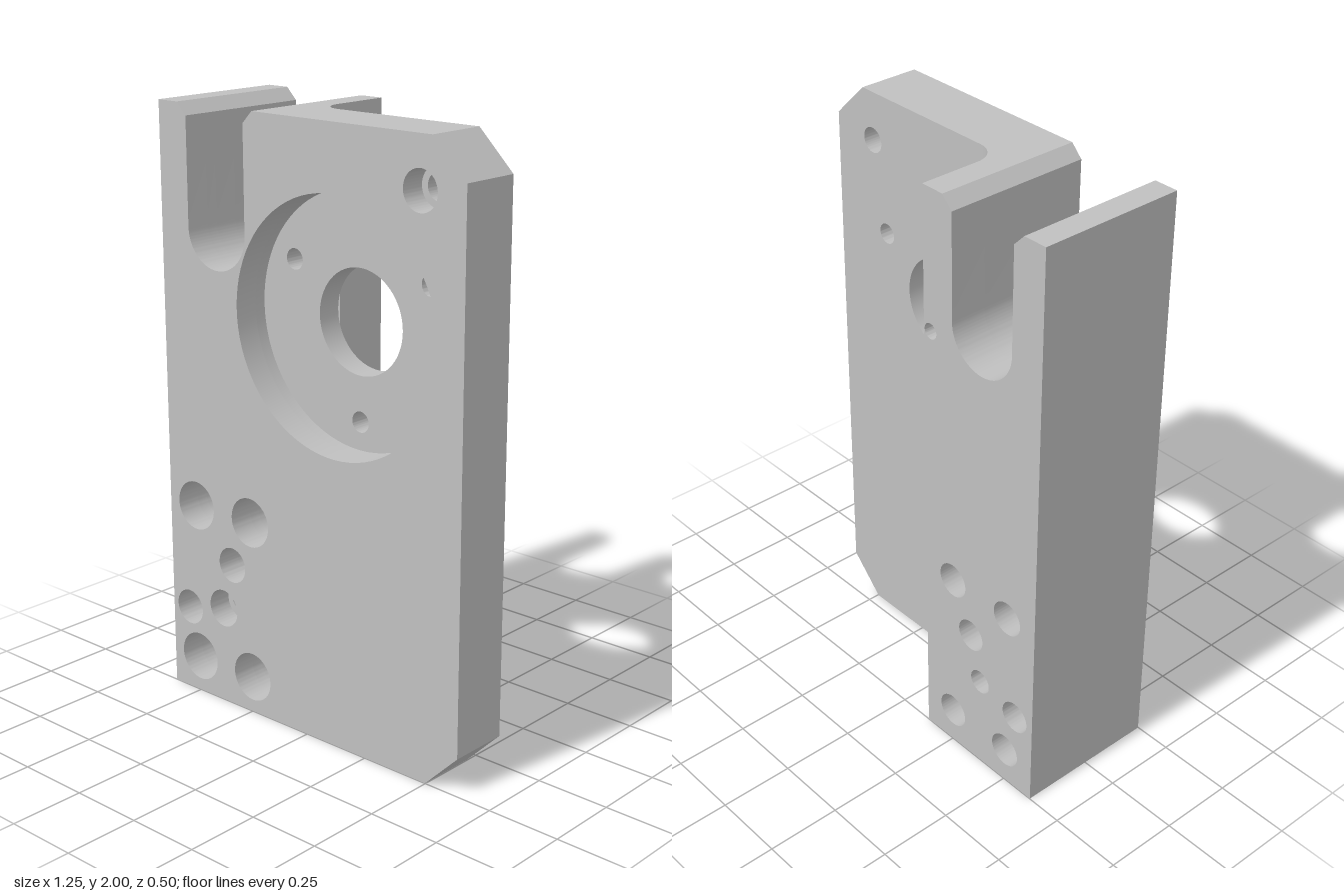
import * as THREE from 'three';
import { toCreasedNormals } from 'three/addons/utils/BufferGeometryUtils.js';

// hole positions, [x, y]
const boltHoles = [[-0.5, 0.67], [-0.25, 0.67], [-0.5, 0.125], [-0.25, 0.125]];
const dowelHoles = [[-0.335, 0.5], [-0.543, 0.295]];
const columnScrew = [[-0.38, 0.335]];
const cornerScrew = [[0.455, 1.838]];
const flangeHoles = [[0.395, 1.535], [0.12, 1.06]];
const tappedHole = [[-0.154, 1.535]];
const centre = [[0.12, 1.378]];

// outline with the slot open at the top; rightSide lists the points right of the slot
function outline(rightSide) {
  const s = new THREE.Shape();
  s.moveTo(-0.623, 0);
  rightSide.forEach(([x, y]) => s.lineTo(x, y));
  s.lineTo(-0.21, 2);
  s.lineTo(-0.249, 1.96);
  s.lineTo(-0.249, 1.61);
  s.absarc(-0.375, 1.61, 0.126, 0, Math.PI, true);
  s.lineTo(-0.501, 1.96);
  s.lineTo(-0.54, 2);
  s.lineTo(-0.623, 2);
  s.closePath();
  return s;
}

const plateSide = [[0.498, 0], [0.623, 0.125], [0.623, 1.878], [0.498, 2]];
const columnSide = [[-0.125, 0], [-0.125, 2]];

export function createModel() {
  const group = new THREE.Group();
  const metal = new THREE.MeshStandardMaterial({ color: 0xc0c0c0 });
  metal.name = 'grey metal';

  const add = (name, geometry) => {
    const mesh = new THREE.Mesh(toCreasedNormals(geometry, 0.5), metal);
    mesh.name = name;
    group.add(mesh);
  };

  // slab between two depths, holes given as [centres, radius]
  const slab = (name, side, z0, z1, holes) => {
    const shape = outline(side);
    for (const [points, r] of holes) {
      for (const [x, y] of points) {
        shape.holes.push(new THREE.Path().absarc(x, y, r, 0, Math.PI * 2, true));
      }
    }
    const g = new THREE.ExtrudeGeometry(shape, { depth: z1 - z0, bevelEnabled: false, curveSegments: 40 });
    add(name, g.translate(0, 0, z0));
  };

  // plate: counterbores at the front, then the recess wall, then the recess floor
  slab('plateFront', plateSide, 0.165, 0.249, [
    [centre, 0.41], [boltHoles, 0.083], [dowelHoles, 0.06],
    [columnScrew, 0.064], [cornerScrew, 0.064],
  ]);
  slab('plateMiddle', plateSide, 0.125, 0.165, [
    [centre, 0.41], [boltHoles, 0.083], [dowelHoles, 0.06],
    [columnScrew, 0.042], [cornerScrew, 0.042],
  ]);
  slab('recessFloor', plateSide, 0.041, 0.125, [
    [centre, 0.169], [flangeHoles, 0.034], [tappedHole, 0.034],
    [boltHoles, 0.083], [dowelHoles, 0.06],
    [columnScrew, 0.042], [cornerScrew, 0.042],
  ]);

  // thick column behind the left edge
  slab('columnFront', columnSide, -0.125, 0.041, [
    [boltHoles, 0.083], [dowelHoles, 0.055], [columnScrew, 0.042], [tappedHole, 0.026],
  ]);
  slab('columnBack', columnSide, -0.249, -0.125, [
    [boltHoles, 0.059], [dowelHoles, 0.055], [columnScrew, 0.042], [tappedHole, 0.026],
  ]);

  // rounded inside corner between column and plate
  const r = 0.083;
  const corner = new THREE.Shape();
  corner.moveTo(-0.125, -0.041);
  corner.lineTo(-0.125 + r, -0.041);
  corner.absarc(-0.125 + r, -0.041 + r, r, -Math.PI / 2, -Math.PI, true);
  corner.closePath();
  const fillet = new THREE.ExtrudeGeometry(corner, { depth: 2, bevelEnabled: false, curveSegments: 16 });
  add('cornerFillet', fillet.rotateX(-Math.PI / 2));

  return group;
}
